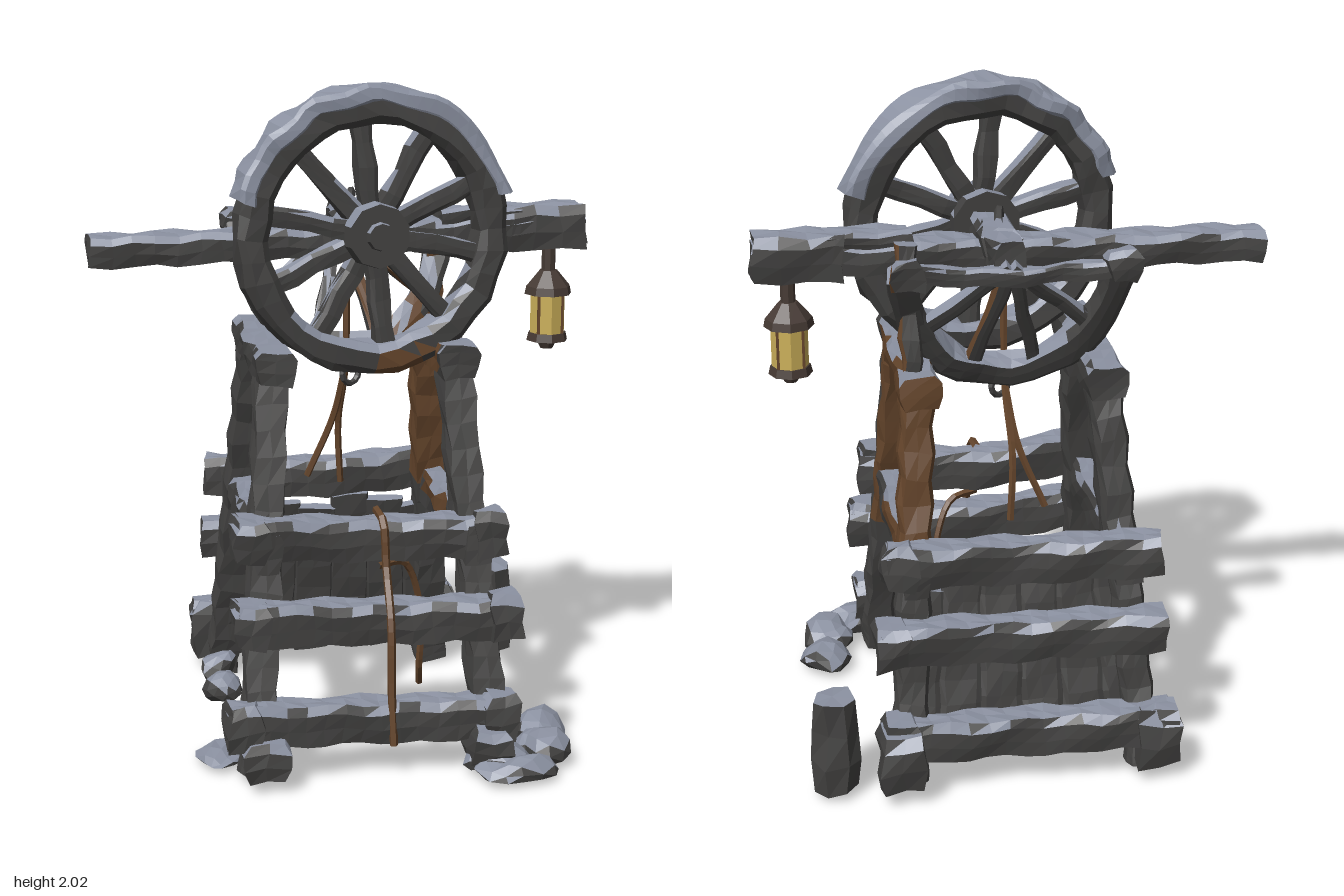
import * as THREE from 'three';

const mat = (name, color) => {
  const m = new THREE.MeshStandardMaterial({ color, flatShading: true });
  m.name = name;
  return m;
};
const wood = mat('darkWood', 0x444342);
const snow = mat('snow', 0x8c92a2);
const brown = mat('brownWood', 0x66462c);
const glow = mat('lanternGlass', 0xccb05a);
const metal = mat('lanternMetal', 0x463a34);
const V = (x, y, z) => new THREE.Vector3(x, y, z);

// Smooth bumps that keep shared corners together
function roughen(geo, a) {
  const p = geo.attributes.position;
  for (let i = 0; i < p.count; i++) {
    const x = p.getX(i), y = p.getY(i), z = p.getZ(i);
    p.setXYZ(i,
      x + a * Math.sin(23 * x + 37 * y + 19 * z),
      y + a * Math.sin(31 * x + 13 * y + 29 * z + 1),
      z + a * Math.sin(17 * x + 27 * y + 41 * z + 2));
  }
  return geo;
}

// Sorts faces into wood, snow (facing up) and brown wood
function painted(name, src, isBrown) {
  const geo = src.index ? src.toNonIndexed() : src;
  const p = geo.attributes.position;
  const sets = [[], [], []];
  const a = V(), b = V(), c = V(), t = new THREE.Triangle(a, b, c), n = V(), m = V();
  for (let i = 0; i < p.count; i += 3) {
    a.fromBufferAttribute(p, i);
    b.fromBufferAttribute(p, i + 1);
    c.fromBufferAttribute(p, i + 2);
    t.getNormal(n);
    t.getMidpoint(m);
    const patch = 0.15 * Math.sin(40 * m.x + 33 * m.y + 27 * m.z);
    const k = n.y + patch > 0.48 ? 1 : isBrown && isBrown(m, n) ? 2 : 0;
    sets[k].push(...a.toArray(), ...b.toArray(), ...c.toArray());
  }
  const out = new THREE.BufferGeometry();
  out.setAttribute('position', new THREE.Float32BufferAttribute(sets.flat(), 3));
  let start = 0;
  sets.forEach((s, k) => {
    if (s.length) out.addGroup(start, s.length / 3, k);
    start += s.length / 3;
  });
  out.computeVertexNormals();
  const mesh = new THREE.Mesh(out, [wood, snow, brown]);
  mesh.name = name;
  return mesh;
}

// Uneven rows and worn upper edges, where snow clings; returns the inset
function wear(v, h) {
  if (Math.abs(v.y) < h * 0.4) v.y = v.y > 0 ? h * 0.28 : -h * 0.1;
  return v.y > h * 0.4 ? 0.74 : v.y < -h * 0.4 ? 0.9 : 1;
}

// Rough timber swept along points; w runs along side, h across it
function timber(name, pts, w, h, { side, isBrown, rough = 0.006 } = {}) {
  const curve = new THREE.CatmullRomCurve3(pts);
  const geo = new THREE.BoxGeometry(w, h, 1, 2, 3, Math.max(2, Math.round(curve.getLength() / 0.06)));
  const p = geo.attributes.position, v = V();
  for (let i = 0; i < p.count; i++) {
    v.fromBufferAttribute(p, i);
    const u = Math.min(1, Math.max(0, v.z + 0.5));
    const edge = wear(v, h);
    const tan = curve.getTangent(u);
    const s = side ? side.clone() : V(0, 1, 0).cross(tan);
    s.addScaledVector(tan, -s.dot(tan)).normalize();
    const up = tan.clone().cross(s);
    const q = curve.getPoint(u).addScaledVector(s, v.x * edge).addScaledVector(up, v.y);
    p.setXYZ(i, q.x, q.y, q.z);
  }
  return painted(name, roughen(geo, rough), isBrown);
}

function block(name, x, y, z, w, h, d, isBrown) {
  const geo = new THREE.BoxGeometry(w, h, d, 2, 3, 2);
  const p = geo.attributes.position, v = V();
  for (let i = 0; i < p.count; i++) {
    v.fromBufferAttribute(p, i);
    const edge = wear(v, h);
    p.setXYZ(i, v.x * edge, v.y, v.z * edge);
  }
  return painted(name, roughen(geo.translate(x, y, z), 0.009), isBrown);
}

function rock(name, x, y, z, rx, ry, rz) {
  const geo = new THREE.IcosahedronGeometry(1, 1).scale(rx, ry, rz).translate(x, y, z);
  roughen(geo, 0.012);
  const p = geo.attributes.position;
  for (let i = 0; i < p.count; i++) p.setY(i, Math.max(0, p.getY(i)));
  return painted(name, geo);
}

function rope(name, pts, r = 0.011, material = brown) {
  const mesh = new THREE.Mesh(new THREE.TubeGeometry(new THREE.CatmullRomCurve3(pts), 20, r, 5), material);
  mesh.name = name;
  return mesh;
}

// Ring with a chamfered rectangular section, axis along z
function ring(r0, r1, depth, c, seg, from = 0, sweep = Math.PI * 2) {
  const d = depth / 2;
  const section = [[r0 + c, -d], [r1 - c, -d], [r1, c - d], [r1, d - c], [r1 - c, d], [r0 + c, d], [r0, d - c], [r0, c - d], [r0 + c, -d]];
  return new THREE.LatheGeometry(section.map(q => new THREE.Vector2(...q)), seg, from, sweep).rotateX(Math.PI / 2);
}

function makeWheel() {
  const g = new THREE.Group();
  g.name = 'wheel';
  g.add(painted('rim', roughen(ring(0.325, 0.42, 0.115, 0.022, 36), 0.006), (m, n) => m.y < -0.345 && m.x > 0.02 && m.x < 0.16 && n.z > 0.3));
  for (const [from, sweep] of [[1.85, 1.35], [3.1, 1.34]]) {
    const cap = new THREE.Mesh(roughen(ring(0.38, 0.44, 0.125, 0.014, 14, from, sweep), 0.007), snow);
    cap.name = 'rimSnow';
    g.add(cap);
  }
  for (let i = 0; i < 10; i++) {
    const a = i / 10 * Math.PI * 2 + Math.PI / 3;
    const c = Math.cos(a), s = Math.sin(a);
    g.add(timber('spoke', [V(c * 0.06, s * 0.06, 0), V(c * 0.34, s * 0.34, 0)], 0.055, 0.058, { side: V(0, 0, 1), rough: 0.004 }));
  }
  const hub = (r, l, z) => g.add(painted('hub', new THREE.CylinderGeometry(r * 0.88, r, l, 10).rotateX(Math.PI / 2).translate(0, 0, z)));
  hub(0.108, 0.16, 0);
  hub(0.045, 0.03, 0.085);
  g.position.set(0.06, 1.555, 0.118);
  g.rotation.set(-0.03, 0.14, 0);
  return g;
}

function makeLantern() {
  const g = new THREE.Group();
  g.name = 'lantern';
  const cyl = (name, m, rt, rb, h, y) => {
    const mesh = new THREE.Mesh(new THREE.CylinderGeometry(rt, rb, h, 8), m);
    mesh.position.y = y;
    mesh.name = name;
    g.add(mesh);
  };
  cyl('lanternGlass', glow, 0.055, 0.055, 0.15, 1.25);
  cyl('lanternFoot', metal, 0.035, 0.02, 0.03, 1.158);
  cyl('lanternBase', metal, 0.06, 0.066, 0.025, 1.182);
  cyl('lanternCollar', metal, 0.07, 0.075, 0.025, 1.33);
  cyl('lanternRoof', metal, 0.028, 0.07, 0.05, 1.367);
  cyl('lanternHook', metal, 0.022, 0.022, 0.08, 1.425);
  for (let i = 0; i < 4; i++) {
    const bar = new THREE.Mesh(new THREE.BoxGeometry(0.008, 0.14, 0.008), brown);
    const a = i * Math.PI / 2 + Math.PI / 4;
    bar.position.set(Math.cos(a) * 0.053, 1.25, Math.sin(a) * 0.053);
    bar.name = 'lanternBar';
    g.add(bar);
  }
  g.position.set(0.66, 0, -0.095);
  return g;
}

export function createModel() {
  const g = new THREE.Group();
  g.name = 'well';
  const X = V(1, 0, 0);
  const facing = (m, n) => n.x > 0.2 || n.z > 0.4;

  // Side frames: leaning legs, top beam, rail and feet
  for (const s of [-1, 1]) {
    const top = s < 0 ? -0.245 : 0.305, low = s < 0 ? -0.34 : 0.375;
    const warm = s > 0;
    const inner = m => m.z < 0.445 - 0.263 * m.y;
    g.add(
      timber('frontLeg', [V(low, 0, 0.44), V(top, 1.18, 0.13)], 0.1, 0.115, { side: X, isBrown: (m, n) => warm && m.y > 0.5 && (n.x > 0.5 && inner(m) || n.z < -0.5) }),
      timber('backLeg', [V(low, 0, -0.5), V(top, 1.18, -0.26)], 0.1, 0.125, { side: X, isBrown: m => warm && m.y > 0.68 }),
      timber('topBeam', [V(top, 1.18, 0.25), V(top, 1.18, -0.37)], 0.115, 0.1, { isBrown: m => warm && m.z < 0.19 }),
      timber('sideRail', [V(s < 0 ? -0.29 : 0.34, 0.655, 0.38), V(s < 0 ? -0.29 : 0.34, 0.655, -0.5)], 0.08, 0.115, { isBrown: m => warm && m.y > 0.65 && Math.abs(m.z + 0.1) < 0.17 }),
      block('frontFoot', low - 0.02 * s, 0.07, 0.485, 0.13, 0.11, 0.14),
      block('backFoot', low + 0.03 * s, 0.12, s < 0 ? -0.55 : -0.58, 0.13, 0.18, 0.13));
  }

  // Bowed planks across the front and back: y, front z, back z, ends
  for (const [y, zf, zb, x0, x1] of [[0.68, 0.32, -0.45, -0.39, 0.43], [0.45, 0.41, -0.495, -0.4, 0.46], [0.155, 0.45, -0.54, -0.43, 0.44]]) {
    g.add(
      timber('frontPlank', [V(x0, y + 0.02, zf + 0.02), V(0, y - 0.01, zf - 0.025), V(x1, y - 0.01, zf)], 0.11, 0.12),
      timber('backPlank', [V(x0, y, zb - 0.02), V(0, y - 0.015, zb + 0.025), V(x1, y + 0.01, zb - 0.01)], 0.11, 0.12),
      block('plankEnd', x0 + 0.05, y + 0.015, zf + 0.02, 0.1, 0.125, 0.115),
      block('plankEnd', x1 - 0.05, y, zf + 0.01, 0.1, 0.135, 0.115),
      block('plankEnd', x1 - 0.04, y + 0.01, zb - 0.01, 0.1, 0.13, 0.11));
  }
  // Upright boards closing the back
  for (let i = 0; i < 6; i++) {
    const x = -0.26 + i * 0.113;
    g.add(timber('backBoard', [V(x * 1.15, 0.05 + 0.015 * (i % 2), -0.48), V(x, 0.61 - 0.02 * (i % 3), -0.385)], 0.125, 0.035, { side: X, rough: 0.004 }));
  }

  // Crossbeam, axle and wheel
  g.add(
    timber('crossbeam', [V(-0.77, 1.495, -0.06), V(-0.2, 1.505, -0.07), V(0.3, 1.52, -0.09), V(0.765, 1.53, -0.1)], 0.13, 0.09),
    timber('beamEnd', [V(0.5, 1.53, -0.1), V(0.76, 1.535, -0.1)], 0.14, 0.135),
    timber('beamSnow', [V(0.3, 1.575, -0.09), V(0.55, 1.575, -0.1)], 0.12, 0.05),
    block('beamSaddle', 0.04, 1.54, -0.1, 0.11, 0.13, 0.16),
    timber('axle', [V(0.07, 1.555, 0.16), V(0.03, 1.55, -0.3)], 0.095, 0.09),
    makeWheel(), makeLantern());

  // Broken half wheel at the back, leaning inward
  const arc = a => V(0.03 + 0.32 * Math.cos(a), 1.53 + 0.375 * Math.sin(a), -0.31 - 0.18 * Math.sin(a));
  const lean = V(0, 0.43, 0.9);
  const arcPts = [];
  for (let i = 0; i <= 8; i++) arcPts.push(arc(Math.PI * (1 + i / 8)));
  g.add(timber('halfRim', arcPts, 0.08, 0.08, { side: lean, isBrown: (m, n) => m.x > 0.04 && m.x < 0.27 && n.z > 0.2 }));
  for (const t of [1.2, 1.4, 1.6, 1.8]) {
    g.add(timber('halfSpoke', [V(0.03, 1.53, -0.3), arc(Math.PI * t)], 0.04, 0.04, { side: lean, isBrown: (m, n) => t > 1.5 && facing(m, n), rough: 0.004 }));
  }
  g.add(
    timber('backBar', [V(-0.3, 1.52, -0.32), V(0.03, 1.5, -0.3), V(0.35, 1.53, -0.33)], 0.05, 0.05),
    block('rimEnd', 0.335, 1.525, -0.33, 0.09, 0.09, 0.08, facing),
    block('rimEnd', -0.29, 1.525, -0.32, 0.09, 0.09, 0.08),
    timber('backPost', [V(0.32, 1.2, -0.28), V(0.33, 1.59, -0.23)], 0.06, 0.06, { side: X, isBrown: facing }));

  // Ropes and hanging ring
  const loop = new THREE.Mesh(new THREE.TorusGeometry(0.035, 0.01, 6, 12), wood);
  loop.position.set(0.03, 1.09, -0.08);
  loop.rotation.y = 0.6;
  loop.name = 'hangingRing';
  g.add(loop,
    rope('wellRope', [V(0.02, 1.5, -0.1), V(0.02, 1.1, -0.12), V(0.01, 0.9, -0.2), V(0.02, 0.7, -0.22)]),
    rope('wellRope', [V(0.02, 1.1, -0.12), V(-0.01, 0.93, -0.17), V(-0.09, 0.73, -0.2)]),
    rope('frontRope', [V(0.05, 0.745, 0.26), V(0.055, 0.73, 0.355), V(0.06, 0.6, 0.375), V(0.06, 0.45, 0.455), V(0.06, 0.25, 0.47), V(0.065, 0.08, 0.485)], 0.013),
    rope('sideRope', [V(0.05, 0.58, 0.3), V(0.14, 0.57, 0.25), V(0.2, 0.4, 0.21), V(0.2, 0.22, 0.19), V(0.21, 0.14, 0.14)]),
    rope('sideRope', [V(0.2, 0.5, -0.35), V(0.2, 0.3, -0.34), V(0.2, 0.15, -0.3)]),
    rope('beamLoop', [V(0.02, 1.58, -0.03), V(0.03, 1.635, -0.09), V(0.04, 1.65, -0.13), V(0.05, 1.63, -0.18)], 0.013, wood));

  // Stump and rocks
  g.add(
    painted('stump', roughen(new THREE.CylinderGeometry(0.068, 0.075, 0.3, 7, 3).translate(0.595, 0.15, -0.51), 0.008)),
    rock('rock', 0.43, 0.01, 0.57, 0.13, 0.045, 0.08),
    rock('rock', 0.38, 0.02, 0.5, 0.1, 0.06, 0.07),
    rock('rock', 0.54, 0.02, 0.43, 0.09, 0.06, 0.1),
    rock('rock', 0.56, 0.02, 0.28, 0.075, 0.05, 0.1),
    rock('rock', -0.43, 0, 0.3, 0.08, 0.03, 0.1),
    rock('looseStone', -0.41, 0.165, 0.165, 0.05, 0.05, 0.05),
    rock('looseStone', -0.405, 0.195, 0.045, 0.05, 0.055, 0.06));
  return g;
}
